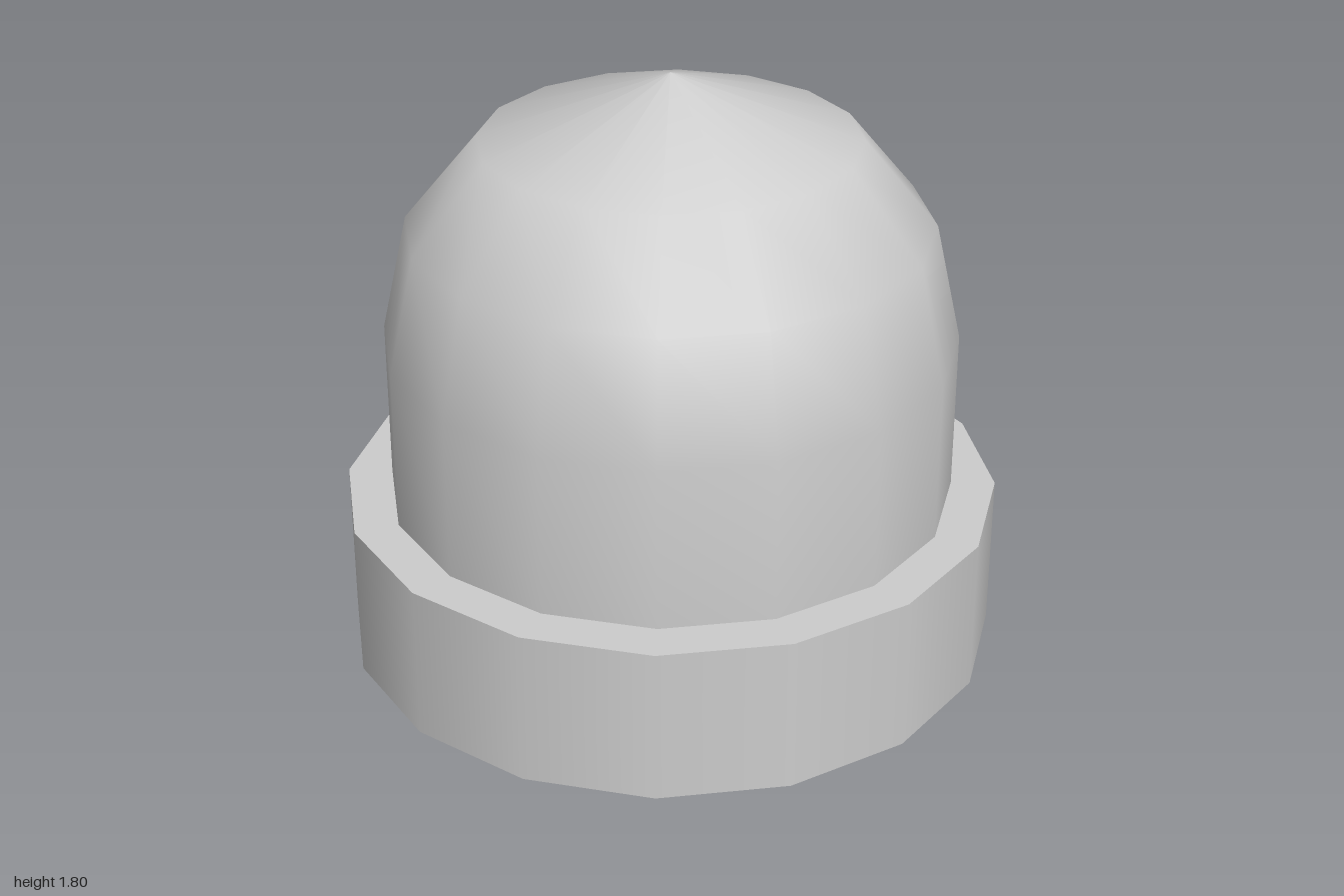
import * as THREE from 'three';

const SIDES = 16;

export function createModel() {
  const model = new THREE.Group();
  model.name = 'domedCap';
  const grey = new THREE.MeshStandardMaterial({ color: 0xcccccc });
  grey.name = 'light grey';

  // Each profile is smooth within itself; separate profiles meet at sharp edges.
  function addPart(name, profiles) {
    const part = new THREE.Group();
    part.name = name;
    for (const [label, points] of Object.entries(profiles)) {
      const path = points.map(([r, y]) => new THREE.Vector2(r, y));
      const mesh = new THREE.Mesh(new THREE.LatheGeometry(path, SIDES), grey);
      mesh.name = label;
      part.add(mesh);
    }
    model.add(part);
  }

  // Collar with a bore that widens upward to meet the dome
  addPart('collar', {
    collarOuterWall: [[1, 0], [1, 0.48]],
    collarTop: [[1, 0.48], [0.865, 0.48]],
    collarBore: [[0.85, 0.4], [0.72, 0]],
    collarBottom: [[0.72, 0], [1, 0]],
  });

  // Hollow dome seated in the collar
  addPart('dome', {
    domeOuterShell: [[0.865, 0.48], [0.865, 0.98], [0.785, 1.34], [0.565, 1.605], [0, 1.805]],
    domeInnerShell: [[0, 1.66], [0.48, 1.5], [0.67, 1.28], [0.74, 0.98], [0.74, 0.4]],
    domeRim: [[0.74, 0.4], [0.85, 0.4]],
  });

  return model;
}
